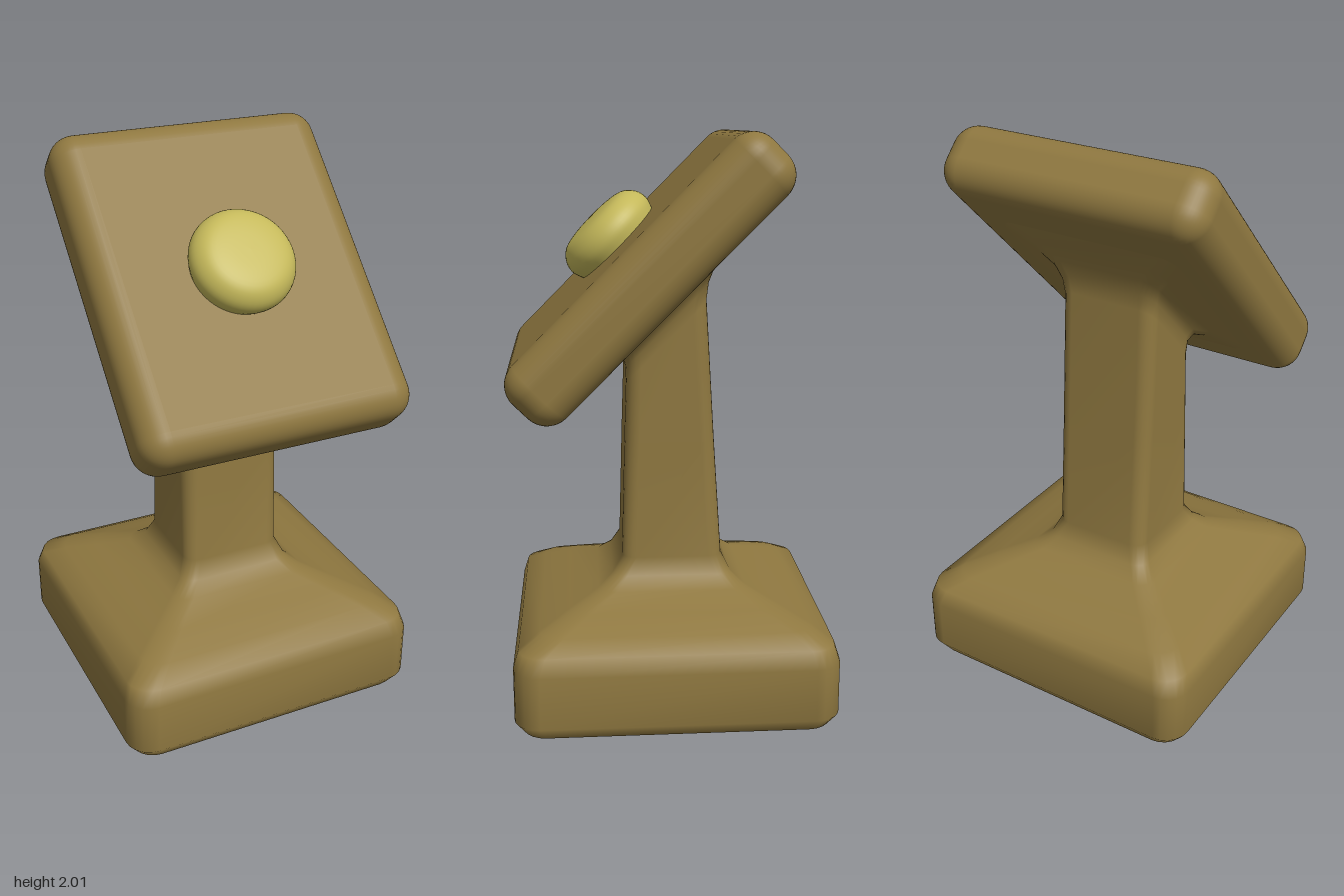
import * as THREE from 'three';
import { RoundedBoxGeometry } from 'three/addons/geometries/RoundedBoxGeometry.js';

const brown = new THREE.MeshStandardMaterial({ color: 0x8f7840 });
const yellow = new THREE.MeshStandardMaterial({ color: 0xc4b85a });
const ARC = 5; // segments per rounded corner

// Skin through rounded-rectangle sections: [y, half width, back z, front z, corner radius, tilt]
function loft(sections) {
  const pos = [], idx = [], n = 4 * (ARC + 1);
  for (const [y, hw, z0, z1, r, tilt = 0] of sections) {
    const cz = (z0 + z1) / 2, hd = (z1 - z0) / 2;
    for (let c = 0; c < 4; c++) {
      const sx = c === 0 || c === 3 ? 1 : -1, sz = c < 2 ? 1 : -1;
      for (let k = 0; k <= ARC; k++) {
        const a = (c + k / ARC) * Math.PI / 2;
        const x = sx * (hw - r) + r * Math.cos(a);
        const z = cz + sz * (hd - r) + r * Math.sin(a);
        pos.push(x, y - tilt * z, z);
      }
    }
  }
  for (let i = 0; i < sections.length - 1; i++) {
    for (let j = 0; j < n; j++) {
      const a = i * n + j, b = i * n + (j + 1) % n;
      idx.push(a, a + n, b, b, a + n, b + n);
    }
  }
  // bottom cap
  const centre = pos.length / 3;
  pos.push(0, sections[0][0], 0);
  for (let j = 0; j < n; j++) idx.push(centre, j, (j + 1) % n);
  const g = new THREE.BufferGeometry();
  g.setAttribute('position', new THREE.Float32BufferAttribute(pos, 3));
  g.setIndex(idx);
  g.computeVertexNormals();
  return g;
}

function part(name, geometry, material, parent) {
  const mesh = new THREE.Mesh(geometry, material);
  mesh.name = name;
  parent.add(mesh);
  return mesh;
}

export function createModel() {
  const model = new THREE.Group();
  model.name = 'pedestalPanel';

  // Square foot blending into the post, which leans and flares onto the panel's back
  const square = (y, h, r) => [y, h, -h, h, r];
  part('baseAndPost', loft([
    square(0, 0.42, 0.05),
    square(0, 0.475, 0.06),
    square(0.02, 0.525, 0.08),
    square(0.065, 0.555, 0.09),
    square(0.25, 0.555, 0.09),
    square(0.31, 0.537, 0.09),
    square(0.35, 0.465, 0.08),
    square(0.39, 0.365, 0.07),
    square(0.43, 0.26, 0.06),
    square(0.47, 0.21, 0.05),
    [0.53, 0.184, -0.18, 0.175, 0.05],
    [0.95, 0.184, -0.152, 0.163, 0.05],
    [1.32, 0.184, -0.123, 0.156, 0.05, 1],
    [1.375, 0.19, -0.13, 0.158, 0.05, 1],
    [1.415, 0.21, -0.15, 0.168, 0.05, 1],
    [1.44, 0.255, -0.185, 0.2, 0.05, 1],
    [1.46, 0.34, -0.25, 0.29, 0.05, 1],
    [1.49, 0.43, -0.31, 0.36, 0.05, 1],
  ]), brown, model);

  // Tilted head: panel and button share one frame
  const head = new THREE.Group();
  head.name = 'head';
  head.position.set(0.005, 1.54, 0.092);
  head.rotation.x = -Math.PI / 4;
  model.add(head);
  part('panel', new RoundedBoxGeometry(0.98, 1.18, 0.245, 5, 0.09), brown, head);

  // Domed button with a rounded rim
  const profile = new THREE.SplineCurve([
    [0.17, 0], [0.182, 0.04], [0.172, 0.08], [0.138, 0.113], [0.08, 0.126], [0, 0.129],
  ].map(([r, h]) => new THREE.Vector2(r, h))).getPoints(20);
  profile[profile.length - 1].x = 0;
  const button = part('button', new THREE.LatheGeometry(profile, 48), yellow, head);
  button.rotation.x = Math.PI / 2;
  button.position.z = 0.12;

  return model;
}
